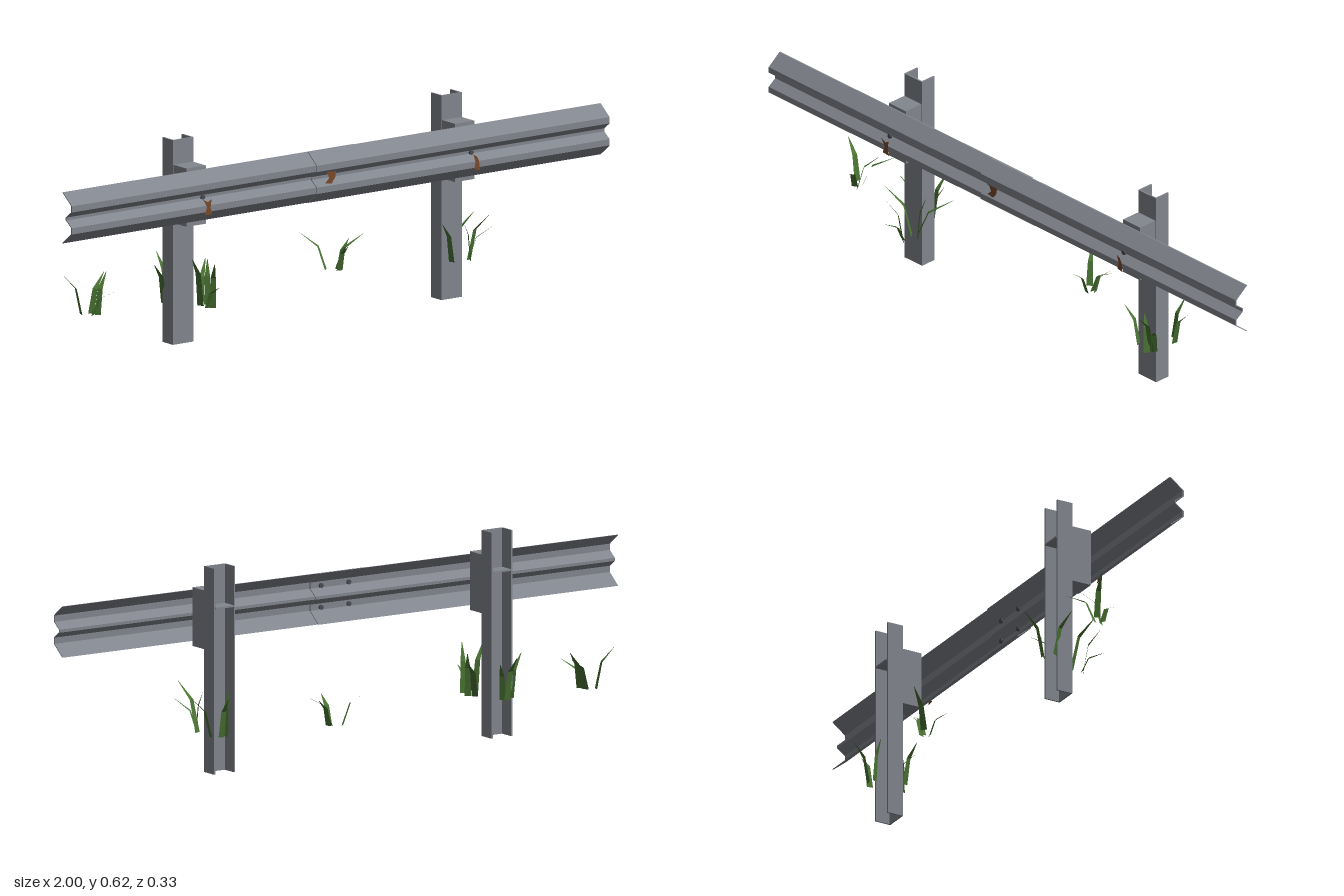
import * as THREE from 'three';

const steel = new THREE.MeshStandardMaterial({ color: 0x82868e, side: THREE.DoubleSide });
steel.name = 'galvanised steel';
const bolt = new THREE.MeshStandardMaterial({ color: 0x4a4d52 });
bolt.name = 'dark bolt';
const rust = new THREE.MeshStandardMaterial({ color: 0x7a4a2b, side: THREE.DoubleSide });
rust.name = 'rust';
const green = new THREE.MeshStandardMaterial({ color: 0x4a7433, side: THREE.DoubleSide });
green.name = 'grass green';

function add(parent, name, geometry, material, x = 0, y = 0, z = 0) {
  const mesh = new THREE.Mesh(geometry, material);
  mesh.name = name;
  mesh.position.set(x, y, z);
  parent.add(mesh);
  return mesh;
}

const polygon = (points) => new THREE.Shape(points.map(([x, y]) => new THREE.Vector2(x, y)));

// Channel post, open towards the back
function postGeometry() {
  const w = 0.038, t = 0.005, front = -0.02, back = 0.032;
  const shape = polygon([
    [-w, front], [w, front], [w, back], [w - t, back],
    [w - t, front + t], [-w + t, front + t], [-w + t, back], [-w, back],
  ]);
  return new THREE.ExtrudeGeometry(shape, { depth: 0.625, bevelEnabled: false }).rotateX(-Math.PI / 2);
}

// Folded W-section beam running from x0 to x1
function railGeometry(x0, x1, dz) {
  const front = [
    [0.094, 0.541], [0.138, 0.507], [0.138, 0.488], [0.111, 0.468],
    [0.111, 0.459], [0.138, 0.440], [0.138, 0.421], [0.094, 0.386],
  ];
  const back = front.map(([z, y]) => [z - 0.004, y]).reverse();
  const shape = polygon([...front, ...back]);
  return new THREE.ExtrudeGeometry(shape, { depth: x1 - x0, bevelEnabled: false })
    .rotateY(-Math.PI / 2).translate(x1, 0, dz);
}

// Bent, tapering blade of grass
function bladeGeometry([bx, bz, tx, ty, tz]) {
  const y0 = 0.117;
  const lean = new THREE.Vector2(tx - bx, tz - bz).normalize();
  const rows = [[0, 0, 0.01], [0.3, 0.65, 0.008], [1, 1, 0.0008]];
  const positions = [];
  for (const [f, h, w] of rows) {
    const x = bx + (tx - bx) * f, z = bz + (tz - bz) * f, y = y0 + (ty - y0) * h;
    positions.push(x - lean.y * w, y, z + lean.x * w, x + lean.y * w, y, z - lean.x * w);
  }
  const geometry = new THREE.BufferGeometry();
  geometry.setAttribute('position', new THREE.Float32BufferAttribute(positions, 3));
  geometry.setIndex([0, 1, 2, 1, 3, 2, 2, 3, 4, 3, 5, 4]);
  const flat = geometry.toNonIndexed();
  flat.computeVertexNormals();
  return flat;
}

export function createModel() {
  const model = new THREE.Group();
  model.name = 'roadside guardrail';

  // Posts with spacer blocks and stiffener plates
  for (const x of [-0.5, 0.5]) {
    const support = new THREE.Group();
    support.name = 'support';
    support.position.x = x;
    model.add(support);
    add(support, 'post', postGeometry(), steel);
    add(support, 'spacerBlock', new THREE.BoxGeometry(0.072, 0.178, 0.064), steel, 0, 0.461, 0.053);
    add(support, 'stiffenerPlate', new THREE.BoxGeometry(0.066, 0.005, 0.05), steel, 0, 0.504, -0.009);
  }

  // Two overlapping beams
  add(model, 'rearRail', railGeometry(-1, 0.08, -0.004), steel);
  add(model, 'frontRail', railGeometry(-0.09, 1, 0), steel);

  // Splice bolts behind the overlap, mounting bolts in the valley
  const boltAt = (x, y) => {
    const geometry = new THREE.CylinderGeometry(0.0075, 0.0075, 0.006, 8).rotateX(Math.PI / 2);
    add(model, 'bolt', geometry, bolt, x, y, 0.117);
  };
  for (const x of [-0.05, 0.05]) for (const y of [0.431, 0.497]) boltAt(x, y);
  for (const x of [-0.5, 0.5]) boltAt(x, 0.464);

  // Rust flakes
  const flakes = [
    [[-0.515, 0.462], [-0.497, 0.452], [-0.483, 0.46], [-0.487, 0.435], [-0.48, 0.412], [-0.508, 0.414], [-0.5, 0.438]],
    [[-0.055, 0.484], [-0.02, 0.482], [-0.022, 0.465], [-0.036, 0.446], [-0.06, 0.45], [-0.045, 0.464]],
    [[0.492, 0.462], [0.505, 0.455], [0.513, 0.44], [0.516, 0.412], [0.495, 0.416], [0.5, 0.438]],
  ];
  for (const points of flakes) {
    add(model, 'rustPatch', new THREE.ShapeGeometry(polygon(points)), rust, 0, 0, 0.1385);
  }

  // Grass tufts: base x, base z, tip x, tip y, tip z
  const tufts = {
    farRightGrass: [
      [-0.82, -0.06, -0.875, 0.24, -0.075], [-0.79, -0.05, -0.705, 0.225, -0.1],
      [-0.785, -0.025, -0.727, 0.235, -0.06], [-0.8, -0.03, -0.76, 0.2, 0.04],
    ],
    rightPostGrass: [
      [-0.53, -0.035, -0.585, 0.245, -0.01], [-0.5, -0.06, -0.495, 0.255, -0.12],
      [-0.455, 0.045, -0.38, 0.235, -0.03], [-0.465, 0.095, -0.475, 0.192, 0.165],
      [-0.455, 0.105, -0.48, 0.262, 0.15], [-0.465, 0.06, -0.53, 0.275, 0.105],
      [-0.44, 0.06, -0.425, 0.25, 0.04], [-0.49, -0.05, -0.465, 0.23, -0.075],
    ],
    middleGrass: [
      [0.125, -0.105, 0.075, 0.225, -0.168], [0.155, -0.09, 0.245, 0.215, -0.08],
      [0.165, -0.09, 0.21, 0.2, -0.105], [0.15, -0.07, 0.14, 0.2, -0.015],
    ],
    leftPostGrass: [
      [0.485, 0.04, 0.44, 0.24, 0.055], [0.53, -0.06, 0.535, 0.24, -0.105],
      [0.51, -0.05, 0.49, 0.25, -0.04], [0.55, 0.04, 0.6, 0.22, 0.09],
      [0.545, 0.045, 0.565, 0.265, 0.12], [0.555, -0.04, 0.62, 0.24, -0.03],
      [0.54, 0.06, 0.52, 0.24, 0.05],
    ],
  };
  for (const [name, blades] of Object.entries(tufts)) {
    const tuft = new THREE.Group();
    tuft.name = name;
    model.add(tuft);
    for (const blade of blades) add(tuft, 'blade', bladeGeometry(blade), green);
  }
  return model;
}
